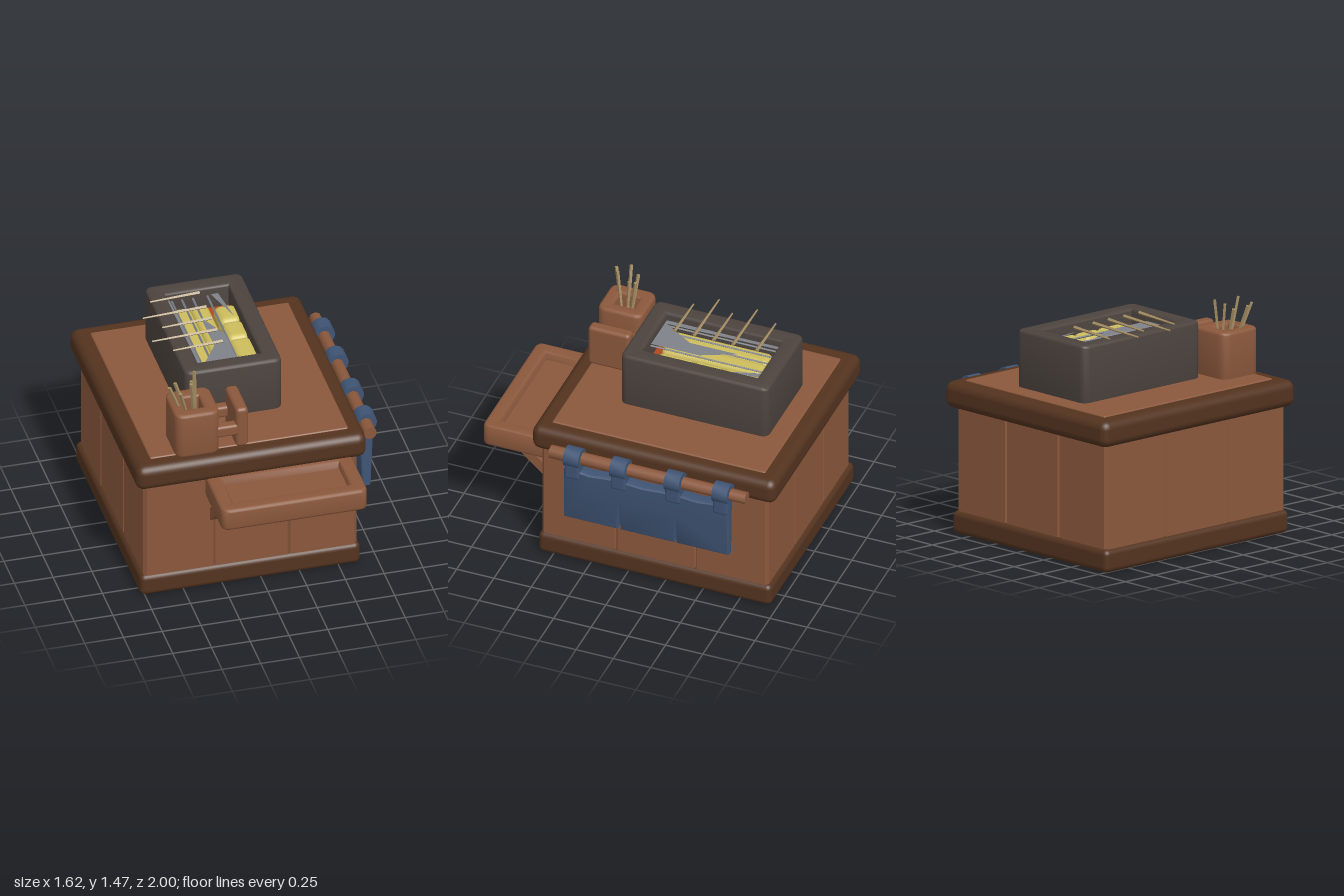
import * as THREE from 'three';
import { toCreasedNormals } from 'three/addons/utils/BufferGeometryUtils.js';
import { RoundedBoxGeometry } from 'three/addons/geometries/RoundedBoxGeometry.js';

const flat = (name, color, side = THREE.FrontSide) => {
  const m = new THREE.MeshStandardMaterial({ color, side });
  m.name = name;
  return m;
};

export function createModel() {
  const model = new THREE.Group();
  model.name = 'grillStall';
  const wood = flat('wood', 0x8b583c);
  const darkWood = flat('dark wood', 0x53331f);
  const iron = flat('iron', 0x4c433e);
  const cloth = flat('blue cloth', 0x3f5474);
  const food = flat('yellow food', 0xcdbd5c);
  const ember = flat('ember', 0xb0481e);
  const steel = flat('steel', 0x7e8389, THREE.DoubleSide);
  const bamboo = flat('bamboo', 0xa38c62);

  const add = (name, geometry, material, parent = model) => {
    const mesh = new THREE.Mesh(geometry, material);
    mesh.name = name;
    parent.add(mesh);
    return mesh;
  };
  const group = (name) => {
    const g = new THREE.Group();
    g.name = name;
    model.add(g);
    return g;
  };
  // Rounded box given by its limits on each axis
  const box = (name, material, [x0, x1], [y0, y1], [z0, z1], r = 0.02, parent = model) => {
    const g = new RoundedBoxGeometry(x1 - x0, y1 - y0, z1 - z0, 3, r);
    g.translate((x0 + x1) / 2, (y0 + y1) / 2, (z0 + z1) / 2);
    return add(name, g, material, parent);
  };
  // Tapered rod between two points
  const rod = (name, material, a, b, r0, r1, sides, parent) => {
    const p = new THREE.Vector3(...a), q = new THREE.Vector3(...b), d = q.clone().sub(p);
    const mesh = add(name, toCreasedNormals(new THREE.CylinderGeometry(r1, r0, d.length(), sides), 0.9), material, parent);
    mesh.position.copy(p).add(q).multiplyScalar(0.5);
    mesh.quaternion.setFromUnitVectors(new THREE.Vector3(0, 1, 0), d.normalize());
    return mesh;
  };
  // Rectangle path with rounded corners, drawn in x and -z
  const roundRect = (path, [x0, x1], [z0, z1], r) => {
    const a = -z1, b = -z0;
    path.moveTo(x0 + r, a).lineTo(x1 - r, a).quadraticCurveTo(x1, a, x1, a + r)
      .lineTo(x1, b - r).quadraticCurveTo(x1, b, x1 - r, b)
      .lineTo(x0 + r, b).quadraticCurveTo(x0, b, x0, b - r)
      .lineTo(x0, a + r).quadraticCurveTo(x0, a, x0 + r, a);
    return path;
  };
  // Hollow upright box, open at top and bottom, with softened edges
  const frame = (name, material, xs, [y0, y1], zs, wall, r, parent = model) => {
    const bev = 0.02;
    const inset = ([a, b], d) => [a + d, b - d];
    const s = roundRect(new THREE.Shape(), inset(xs, bev), inset(zs, bev), r);
    s.holes.push(roundRect(new THREE.Path(), inset(xs, wall + bev), inset(zs, wall + bev), 0.01));
    const g = new THREE.ExtrudeGeometry(s, {
      depth: y1 - y0 - 2 * bev, bevelEnabled: true, bevelSize: bev, bevelThickness: bev, bevelSegments: 3, curveSegments: 4,
    });
    g.rotateX(-Math.PI / 2).translate(0, y0 + bev, 0);
    return add(name, toCreasedNormals(g, 0.8), material, parent);
  };

  // Cabinet: plinth, planked body and counter
  const cabinet = group('cabinet');
  box('plinth', darkWood, [-0.78, 0.64], [0, 0.147], [-0.96, 0.6], 0.035, cabinet);
  const bx = [-0.755, 0.62], bz = [-0.935, 0.585];
  const corners = [[bx[0], -bz[1]], [bx[1], -bz[1]], [bx[1], -bz[0]], [bx[0], -bz[0]]];
  const outline = [];
  corners.forEach((c, i) => {
    // Each wall has two narrow grooves between three planks
    const a = new THREE.Vector2(...c), b = new THREE.Vector2(...corners[(i + 1) % 4]);
    const dir = b.clone().sub(a).normalize(), inward = new THREE.Vector2(-dir.y, dir.x), len = a.distanceTo(b);
    const at = (t, d) => a.clone().addScaledVector(dir, t).addScaledVector(inward, d);
    outline.push(at(0.02, 0));
    for (const f of [0.33, 0.68]) outline.push(at(f * len - 0.009, 0), at(f * len, 0.012), at(f * len + 0.009, 0));
    outline.push(at(len - 0.02, 0));
  });
  const body = new THREE.ExtrudeGeometry(new THREE.Shape(outline), { depth: 0.72, bevelEnabled: false });
  body.rotateX(-Math.PI / 2).translate(0, 0.12, 0);
  add('plankedBody', body, wood, cabinet);
  box('counterEdge', darkWood, [-0.81, 0.675], [0.81, 0.98], [-1, 0.635], 0.055, cabinet);
  box('counterTop', wood, [-0.7, 0.58], [0.95, 0.988], [-0.9, 0.53], 0.012, cabinet);

  // Front tray on two diagonal brackets
  const shelf = group('frontShelf');
  frame('trayRim', wood, [-0.36, 0.58], [0.68, 0.83], [0.55, 1], 0.055, 0.03, shelf);
  box('trayFloor', wood, [-0.32, 0.54], [0.69, 0.775], [0.57, 0.96], 0.01, shelf);
  for (const x of [-0.295, 0.485]) {
    const s = new THREE.Shape([[0.57, 0.5], [0.6, 0.5], [0.81, 0.69], [0.72, 0.69], [0.57, 0.57]].map((p) => new THREE.Vector2(...p)));
    const g = new THREE.ExtrudeGeometry(s, { depth: 0.07, bevelEnabled: false });
    g.rotateY(-Math.PI / 2).translate(x + 0.035, 0, 0);
    add('bracket', g, wood, shelf);
  }

  // Grill box with embers, food, broken grate and skewers
  const grill = group('grill');
  frame('grillBox', iron, [-0.385, 0.24], [0.97, 1.355], [-0.78, 0.21], 0.07, 0.03, grill);
  box('emberBed', ember, [-0.34, 0.2], [1.0, 1.2], [-0.73, 0.17], 0.01, grill);
  for (const [z0, z1] of [[-0.58, -0.39], [-0.4, -0.2], [-0.21, 0.04]]) {
    box('foodPiece', food, [0, 0.15], [1.16, 1.28], [z0, z1], 0.045, grill);
    for (const x of [-0.25, -0.135]) box('foodPiece', food, [x, x + 0.12], [1.16, 1.265], [z0 - 0.05, z1], 0.035, grill);
  }
  const shards = [
    [[-0.11, -0.44], [-0.01, -0.22], [-0.01, 0.13], [-0.13, 0.14], [-0.25, 0.1], [-0.11, -0.12]],
    [[0.01, -0.69], [0.06, -0.69], [0.095, -0.4]],
    [[-0.3, -0.69], [-0.25, -0.69], [-0.24, 0.1], [-0.28, 0.12]],
  ];
  for (const pts of shards) {
    const s = new THREE.Shape(pts.map(([x, z]) => new THREE.Vector2(x, -z)));
    add('grateSheet', new THREE.ShapeGeometry(s).rotateX(-Math.PI / 2).translate(0, 1.3, 0), steel, grill);
  }
  for (const x of [-0.235, -0.17, -0.1, -0.005]) rod('grateBar', steel, [x, 1.29, -0.72], [x, 1.29, 0.15], 0.007, 0.007, 4, grill);
  [[-0.58, -0.4], [-0.42, -0.49], [-0.29, -0.4], [-0.16, -0.5], [-0.03, -0.4]].forEach(([z, x]) =>
    rod('skewer', bamboo, [-0.08, 1.39, z], [x, 1.375, z], 0.012, 0.006, 4, grill));

  // Stick holder: hollow cup joined to an end plate by two bridges
  const holder = group('stickHolder');
  frame('cup', wood, [-0.54, -0.255], [0.97, 1.285], [0.265, 0.565], 0.045, 0.04, holder);
  box('cupFloor', wood, [-0.5, -0.29], [0.98, 1.1], [0.3, 0.53], 0.01, holder);
  box('endPlate', wood, [-0.15, -0.07], [0.98, 1.265], [0.27, 0.55], 0.025, holder);
  for (const z of [0.27, 0.48]) box('bridge', wood, [-0.28, -0.13], [1.07, 1.15], [z, z + 0.07], 0.02, holder);
  const tips = [[-0.555, 1.44, 0.45], [-0.505, 1.44, 0.53], [-0.5, 1.42, 0.38], [-0.425, 1.47, 0.49], [-0.365, 1.46, 0.345], [-0.4, 1.43, 0.4]];
  tips.forEach(([x, y, z], i) => rod('stick', bamboo, [-0.42 + 0.012 * i, 1.09, 0.41 + (z - 0.41) * 0.3], [x, y, z], 0.009, 0.012, 4, holder));

  // Towel rail with a three-panel cloth hung on four loops
  const rail = group('clothRail');
  rod('rail', wood, [0.735, 0.88, -0.84], [0.735, 0.88, 0.475], 0.04, 0.043, 8, rail);
  for (const z of [-0.68, -0.36, 0.005, 0.315]) {
    rod('clothLoop', cloth, [0.742, 0.885, z - 0.052], [0.742, 0.885, z + 0.052], 0.067, 0.067, 12, rail);
    box('clothTab', cloth, [0.7, 0.79], [0.74, 0.88], [z - 0.052, z + 0.052], 0.02, rail);
  }
  const edge = [[-0.72, 0.43], [-0.385, 0.43], [-0.372, 0.66], [-0.358, 0.43], [-0.01, 0.43], [0.01, 0.65], [0.024, 0.43], [0.37, 0.43],
    [0.365, 0.81], [0.2, 0.785], [0.05, 0.8], [-0.16, 0.785], [-0.35, 0.8], [-0.53, 0.785], [-0.72, 0.81]];
  const sheet = new THREE.ExtrudeGeometry(new THREE.Shape(edge.map((p) => new THREE.Vector2(...p))), {
    depth: 0.03, bevelEnabled: true, bevelSize: 0.008, bevelThickness: 0.012, bevelSegments: 2,
  });
  sheet.rotateY(-Math.PI / 2).translate(0.015, 0, 0);
  const pos = sheet.attributes.position;
  // Thicken the cloth towards the rail
  for (let i = 0; i < pos.count; i++) pos.setX(i, 0.738 + pos.getX(i) * (1 + (pos.getY(i) - 0.42) * 1.6));
  add('clothSheet', toCreasedNormals(sheet, 0.7), cloth, rail);

  return model;
}
